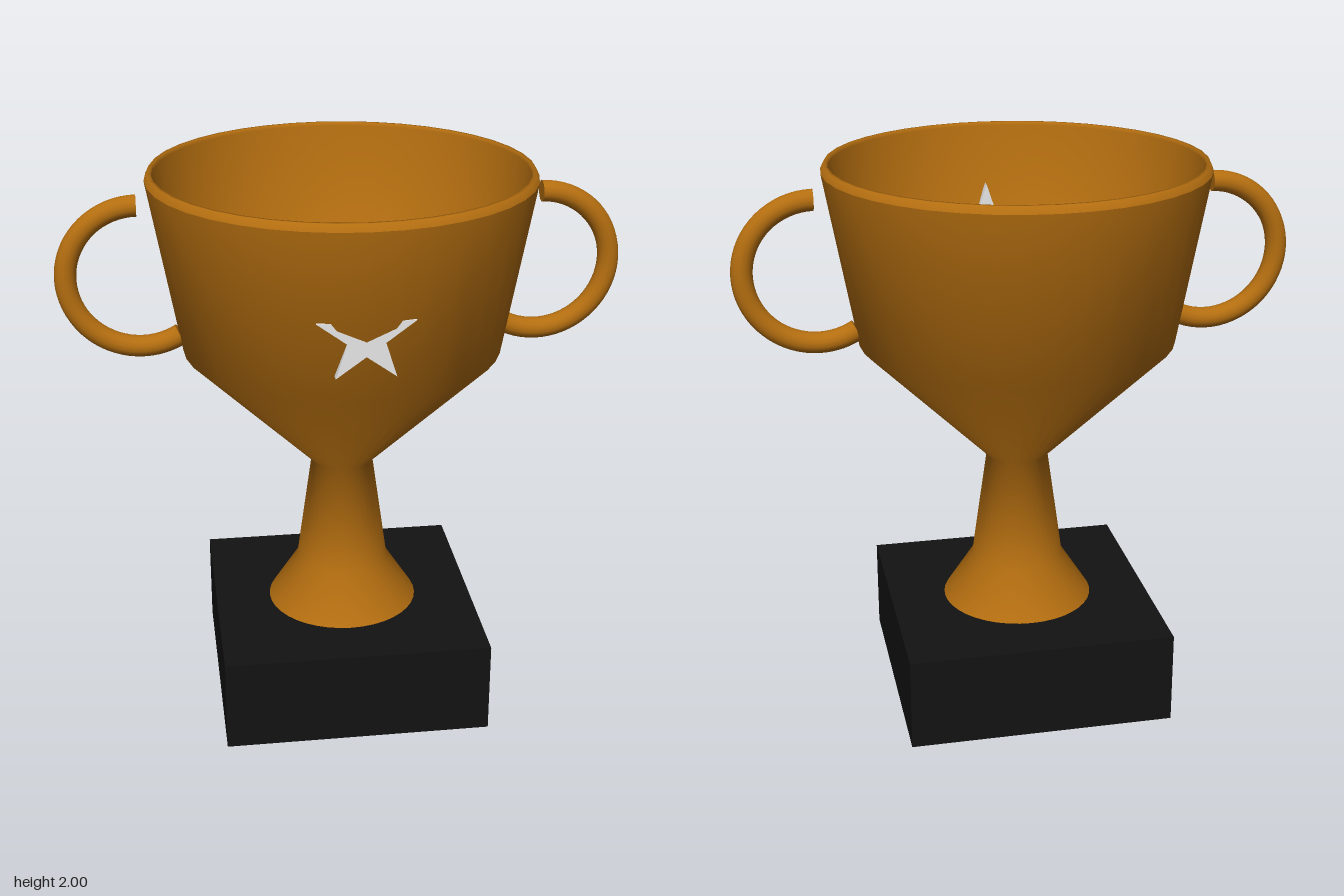
import * as THREE from 'three';

export function createModel() {
  const model = new THREE.Group();
  model.name = 'trophy';

  const gold = new THREE.MeshStandardMaterial({ color: 0xb46e10, side: THREE.DoubleSide });
  gold.name = 'gold';
  const black = new THREE.MeshStandardMaterial({ color: 0x121212 });
  black.name = 'black';
  const silver = new THREE.MeshStandardMaterial({ color: 0xececec });
  silver.name = 'silver';

  const add = (name, geometry, material, parent = model) => {
    const mesh = new THREE.Mesh(geometry, material);
    mesh.name = name;
    parent.add(mesh);
    return mesh;
  };
  const lathe = (points) =>
    new THREE.LatheGeometry(points.map(([r, y]) => new THREE.Vector2(r, y)), 40);

  // Square plinth
  add('plinth', new THREE.BoxGeometry(0.96, 0.34, 0.96), black).position.y = 0.17;

  // Foot, stem and outer bowl as one smooth turned skin
  add('cup', lathe([
    [0.28, 0.335], [0.168, 0.51], [0.112, 0.91], [0.565, 1.36], [0.674, 1.975],
  ]), gold);

  // Chamfered lip
  add('rim', lathe([[0.674, 1.975], [0.662, 2], [0.65, 2], [0.648, 1.985]]), gold);

  // Inner skin, running from the lip down to the bottom of the bowl
  add('bowlInside', lathe([
    [0.648, 1.985], [0.54, 1.37], [0.09, 0.93], [0, 0.92],
  ]), gold);

  // Star set partly into the wall of the bowl
  const star = new THREE.Shape();
  for (let i = 0; i < 10; i++) {
    const r = i % 2 ? 0.066 : 0.17;
    const a = Math.PI / 2 + (i * Math.PI) / 5;
    star[i ? 'lineTo' : 'moveTo'](r * Math.cos(a), r * Math.sin(a));
  }
  star.closePath();
  add('star', new THREE.ExtrudeGeometry(star, { depth: 0.03, bevelEnabled: false }), silver)
    .position.set(0, 1.607, 0.576);

  // Ring handles: free at the top, meeting the bowl at the bottom
  const R = 0.254, tube = 0.038;
  const start = THREE.MathUtils.degToRad(-122);
  const arc = Math.PI / 2 - start;
  for (const [name, side] of [['leftHandle', 1], ['rightHandle', -1]]) {
    const handle = new THREE.Group();
    handle.name = name;
    handle.position.set(side * 0.704, 1.637, 0);
    if (side < 0) handle.rotation.y = Math.PI;

    const ring = add('handleRing', new THREE.TorusGeometry(R, tube, 14, 40, arc), gold, handle);
    ring.rotation.z = start;

    // Flat end caps
    for (const [angle, facing] of [[start, 1], [Math.PI / 2, -1]]) {
      const cap = new THREE.CircleGeometry(tube, 14);
      cap.rotateX(facing * Math.PI / 2);
      cap.translate(R, 0, 0);
      cap.rotateZ(angle);
      add('handleEnd', cap, gold, handle);
    }
    model.add(handle);
  }

  return model;
}
